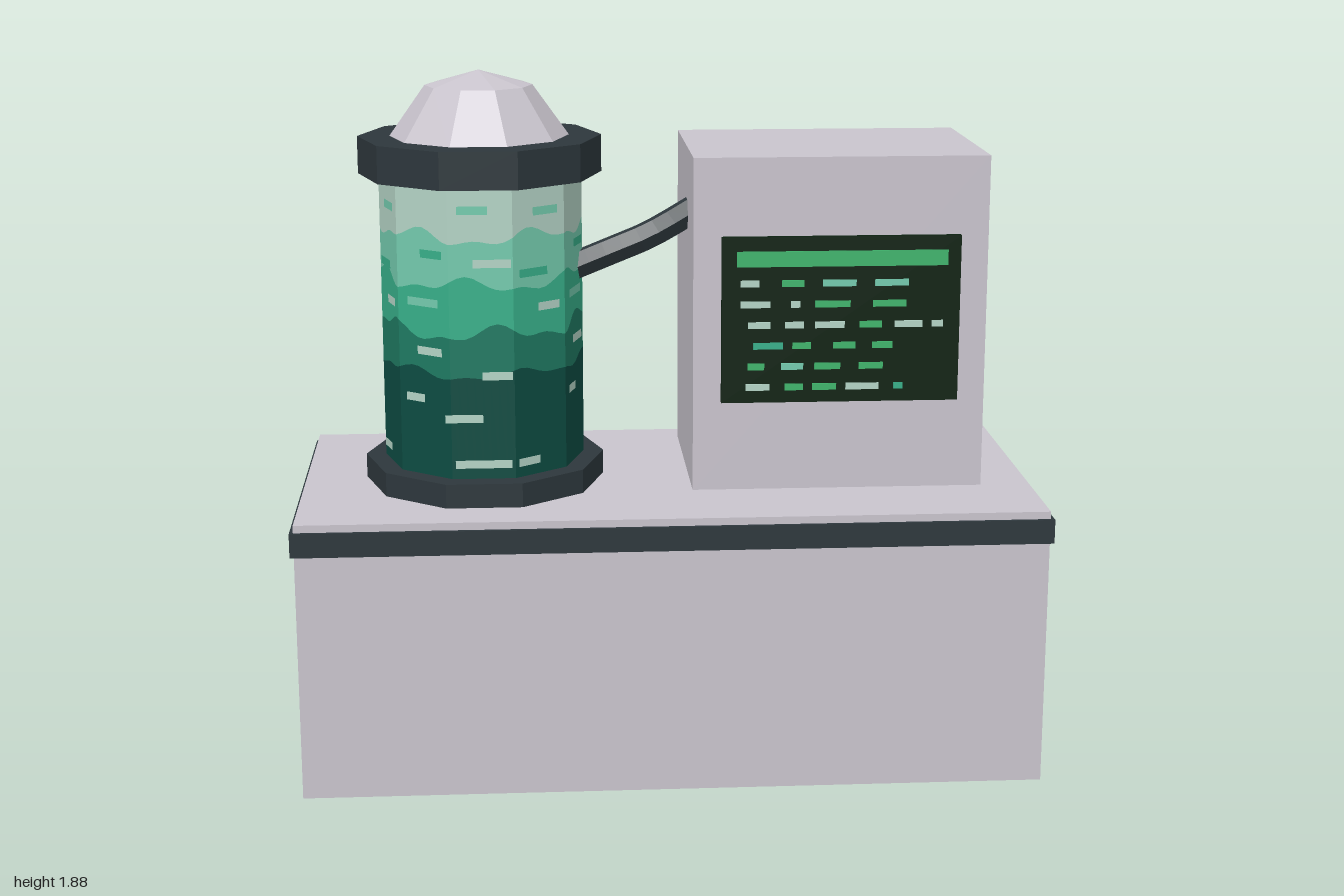
import * as THREE from 'three';

const mat = (name, color) => {
  const m = new THREE.MeshStandardMaterial({ color });
  m.name = name;
  return m;
};

export function createModel() {
  const casing = mat('casing grey', 0xc9c4cd);
  const trim = mat('dark trim', 0x2d373c);
  const glass = mat('screen black green', 0x0b2110);
  const green = mat('screen green', 0x3fb46c);
  const pale = mat('pale mint', 0xb4d4c6);
  const mint = mat('light mint', 0x74cbae);
  const emerald = mat('emerald', 0x38b08a);
  const teal = mat('teal', 0x1f7a62);
  const deep = mat('deep teal', 0x0d4c42);

  const model = new THREE.Group();
  model.name = 'tankConsole';

  const add = (parent, name, geometry, material) => {
    const mesh = new THREE.Mesh(geometry, material);
    mesh.name = name;
    parent.add(mesh);
    return mesh;
  };
  // Box given by its lower and upper limits on each axis
  const box = (parent, name, x0, x1, y0, y1, z0, z1, material) => {
    const mesh = add(parent, name, new THREE.BoxGeometry(x1 - x0, y1 - y0, z1 - z0), material);
    mesh.position.set((x0 + x1) / 2, (y0 + y1) / 2, (z0 + z1) / 2);
    return mesh;
  };
  const faceted = (geometry) => {
    const g = geometry.index ? geometry.toNonIndexed() : geometry;
    g.computeVertexNormals();
    return g;
  };

  // Cabinet base and its trim band
  box(model, 'base', -0.99, 0.99, 0, 0.755, -0.467, 0.467, casing);
  box(model, 'baseTrim', -1, 1, 0.67, 0.735, -0.477, 0.477, trim);

  // Monitor housing and screen
  box(model, 'monitorHousing', 0.065, 0.855, 0.75, 1.66, -0.387, 0.197, casing);
  box(model, 'screen', 0.14, 0.78, 1.0, 1.45, 0.19, 0.213, glass);

  // Display: header bar and rows of dashes [start, end, material]
  const readout = new THREE.Group();
  readout.name = 'readout';
  model.add(readout);
  box(readout, 'headerBar', 0.18, 0.745, 1.37, 1.412, 0.212, 0.216, green);
  const rows = [
    [[0.19, 0.24, pale], [0.3, 0.36, green], [0.41, 0.5, mint], [0.55, 0.64, mint]],
    [[0.19, 0.27, pale], [0.325, 0.35, pale], [0.39, 0.485, green], [0.545, 0.635, green]],
    [[0.21, 0.27, pale], [0.31, 0.36, pale], [0.39, 0.47, pale], [0.51, 0.57, green], [0.605, 0.68, pale], [0.705, 0.735, pale]],
    [[0.225, 0.305, emerald], [0.33, 0.38, green], [0.44, 0.5, green], [0.545, 0.6, green]],
    [[0.21, 0.255, green], [0.3, 0.36, mint], [0.39, 0.46, green], [0.51, 0.575, green]],
    [[0.205, 0.27, pale], [0.31, 0.36, green], [0.385, 0.45, green], [0.475, 0.565, pale], [0.605, 0.63, emerald]],
  ];
  rows.forEach((row, i) => {
    const y = 1.325 - i * 0.0565;
    for (const [x0, x1, m] of row) box(readout, 'dash', x0, x1, y - 0.009, y + 0.009, 0.212, 0.216, m);
  });

  // Ten-sided tank
  const SIDES = 10;
  const R = 0.273;
  const tank = new THREE.Group();
  tank.name = 'tank';
  tank.position.x = -0.497;
  tank.scale.z = 1.075;
  model.add(tank);

  const ring = (name, y0, y1) => {
    const g = new THREE.CylinderGeometry(0.327, 0.327, y1 - y0, SIDES, 1, false, Math.PI / 2);
    add(tank, name, faceted(g), trim).position.y = (y0 + y1) / 2;
  };
  ring('lowerRing', 0.75, 0.82);
  ring('upperRing', 1.6, 1.7);

  const domeProfile = [[0.244, 1.695], [0.144, 1.835], [0, 1.875]].map((p) => new THREE.Vector2(...p));
  add(tank, 'dome', faceted(new THREE.LatheGeometry(domeProfile, SIDES, Math.PI / 2)), casing);

  // Point on the tank wall, u counting facets round from +x
  const wall = (u, y) => {
    const k = Math.floor(u), t = u - k;
    const a = Math.PI / 2 + (k * 2 * Math.PI) / SIDES;
    const b = a + (2 * Math.PI) / SIDES;
    return [R * THREE.MathUtils.lerp(Math.sin(a), Math.sin(b), t), y, R * THREE.MathUtils.lerp(Math.cos(a), Math.cos(b), t)];
  };

  // Liquid colour bands with wavy borders
  const border = (y, amp, phase) => (u) => {
    const a = (u * 2 * Math.PI) / SIDES;
    return y + amp * (Math.sin(5 * a + phase) + 0.6 * Math.sin(11 * a + 2 * phase));
  };
  const borders = [
    border(0.81, 0, 0), border(1.1, 0.011, 1), border(1.21, 0.018, 2.3),
    border(1.34, 0.016, 4), border(1.465, 0.016, 0.4), border(1.61, 0, 0),
  ];
  const STEPS = 8;
  [deep, teal, emerald, mint, pale].forEach((m, i) => {
    const points = [];
    for (let k = 0; k < SIDES * STEPS; k++) {
      const u = k / STEPS, v = (k + 1) / STEPS;
      const a = wall(u, borders[i](u)), b = wall(v, borders[i](v));
      const c = wall(v, borders[i + 1](v)), d = wall(u, borders[i + 1](u));
      points.push(...a, ...b, ...d, ...c, ...d, ...b);
    }
    const g = new THREE.BufferGeometry();
    g.setAttribute('position', new THREE.Float32BufferAttribute(points, 3));
    add(tank, 'liquidBand', faceted(g), m);
  });

  // Glints on the facets: [offset, height, width, material], alternating patterns
  const glints = [
    [[-0.05, 0.985, 0.1, pale], [0, 0.86, 0.15, pale], [0.04, 1.1, 0.08, pale], [0.03, 1.4, 0.1, pale], [-0.02, 1.54, 0.08, mint]],
    [[-0.04, 0.86, 0.07, pale], [0.03, 1.275, 0.07, pale], [-0.02, 1.37, 0.09, emerald], [0.02, 1.53, 0.08, mint]],
    [[0.02, 1.16, 0.08, pale], [-0.03, 1.03, 0.06, pale], [0.0, 1.29, 0.1, mint], [0.03, 1.42, 0.07, emerald]],
  ];
  const apothem = R * Math.cos(Math.PI / SIDES) + 0.003;
  for (let k = 0; k < SIDES; k++) {
    const facet = new THREE.Group();
    facet.name = 'facetGlints';
    facet.rotation.y = ((k - 5) * 2 * Math.PI) / SIDES;
    tank.add(facet);
    for (const [x, y, w, m] of glints[(k + 1) % 3]) {
      add(facet, 'glint', new THREE.PlaneGeometry(w, 0.022), m).position.set(x, y, apothem);
    }
  }

  // Pipe linking tank and monitor
  const path = new THREE.CatmullRomCurve3([
    new THREE.Vector3(-0.25, 1.34, 0.005), new THREE.Vector3(-0.14, 1.385, 0.008),
    new THREE.Vector3(-0.04, 1.425, 0), new THREE.Vector3(0.1, 1.495, -0.05),
  ]);
  add(model, 'pipe', faceted(new THREE.TubeGeometry(path, 8, 0.04, 6)), trim);

  return model;
}
